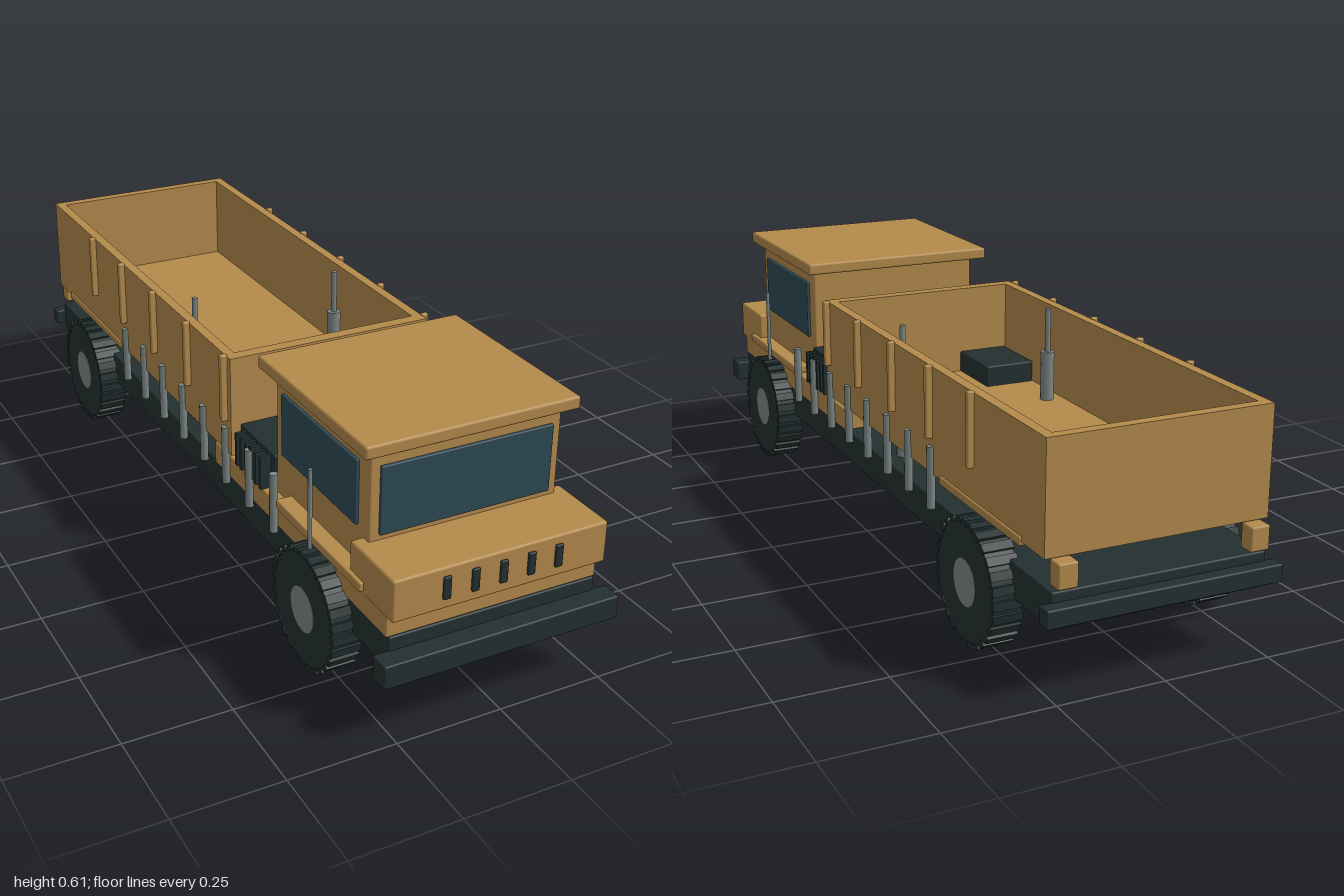
import * as THREE from 'three';
import { RoundedBoxGeometry } from 'three/addons/geometries/RoundedBoxGeometry.js';

function material(name, color) {
  const m = new THREE.MeshStandardMaterial({ color });
  m.name = name;
  return m;
}

export function createModel() {
  const truck = new THREE.Group();
  truck.name = 'truck';
  const tan = material('tan paint', 0xb48a4c);
  const dark = material('dark rubber', 0x233030);
  const glass = material('tinted glass', 0x2f4a56);
  const steel = material('steel', 0x7d8886);

  function add(name, geometry, mat, x = 0, y = 0, z = 0, parent = truck) {
    const mesh = new THREE.Mesh(geometry, mat);
    mesh.name = name;
    mesh.position.set(x, y, z);
    parent.add(mesh);
    return mesh;
  }
  // Box given by its limits on each axis, with optional rounded edges
  function box(name, mat, [x0, x1], [y0, y1], [z0, z1], r = 0) {
    const size = [x1 - x0, y1 - y0, z1 - z0];
    const geometry = r ? new RoundedBoxGeometry(...size, 2, r) : new THREE.BoxGeometry(...size);
    return add(name, geometry, mat, (x0 + x1) / 2, (y0 + y1) / 2, (z0 + z1) / 2);
  }
  // The same box on both sides of the truck
  function pair(name, mat, [x0, x1], y, z, r = 0) {
    box(name + 'Left', mat, [x0, x1], y, z, r);
    box(name + 'Right', mat, [-x1, -x0], y, z, r);
  }
  const rod = (name, r, x, y0, y1, z) =>
    add(name, new THREE.CylinderGeometry(r, r, y1 - y0, 12), steel, x, (y0 + y1) / 2, z);

  // Chassis and bumpers
  box('chassis', dark, [-0.25, 0.25], [0.15, 0.23], [-0.97, 0.955], 0.004);
  box('frontBumper', dark, [-0.285, 0.285], [0.143, 0.198], [0.95, 1], 0.004);
  box('rearBumper', dark, [-0.275, 0.275], [0.167, 0.208], [-1, -0.965], 0.004);

  // Cab
  box('lowerBody', tan, [-0.255, 0.255], [0.228, 0.285], [0.13, 0.95], 0.004);
  box('hood', tan, [-0.257, 0.257], [0.277, 0.375], [0.8, 0.975], 0.006);
  box('cab', tan, [-0.228, 0.228], [0.28, 0.585], [0.41, 0.826], 0.005);
  box('roof', tan, [-0.255, 0.255], [0.58, 0.61], [0.37, 0.853], 0.006);
  box('windscreen', glass, [-0.206, 0.206], [0.388, 0.547], [0.825, 0.834], 0.003);
  pair('sideWindow', glass, [0.227, 0.236], [0.395, 0.545], [0.446, 0.783], 0.003);
  for (let i = -2; i <= 2; i++) {
    const x = i * 0.067;
    box('grilleSlot', dark, [x - 0.009, x + 0.009], [0.302, 0.355], [0.974, 0.982], 0.003);
  }

  // Fenders above the wheels
  pair('frontFender', tan, [0.2, 0.267], [0.286, 0.308], [0.48, 0.86], 0.004);
  pair('rearFender', tan, [0.2, 0.265], [0.288, 0.308], [-0.86, -0.47], 0.004);

  // Engine boxes reaching under and into the bed, with cooling fins
  pair('engineBox', dark, [0.105, 0.235], [0.284, 0.375], [0.045, 0.412], 0.004);
  for (let i = 0; i < 6; i++) {
    const z = 0.265 + i * 0.025;
    pair('coolingFin', dark, [0.232, 0.262], [0.287, 0.37], [z - 0.005, z + 0.005]);
  }

  // Open cargo bed
  box('bedFloor', tan, [-0.256, 0.256], [0.297, 0.322], [-0.95, 0.235]);
  pair('bedSide', tan, [0.236, 0.26], [0.297, 0.545], [-0.955, 0.235]);
  box('bedFront', tan, [-0.26, 0.26], [0.297, 0.545], [0.207, 0.237]);
  box('bedTail', tan, [-0.26, 0.26], [0.297, 0.545], [-0.957, -0.932]);
  for (let i = 0; i < 5; i++) {
    const z = 0.213 - i * 0.212;
    pair('bedRib', tan, [0.258, 0.276], [0.38, 0.549], [z - 0.007, z + 0.007], 0.004);
  }
  pair('tailLamp', tan, [0.2, 0.245], [0.24, 0.295], [-0.988, -0.95], 0.004);

  for (const s of [-1, 1]) {
    // Side posts, aerials and the upright rams in the bed
    for (let i = 0; i < 8; i++) rod('sidePost', 0.01, s * 0.262, 0.215, 0.362, 0.462 - i * 0.1265);
    rod('aerial', 0.005, s * 0.276, 0.25, 0.475, 0.662);
    rod('ramCylinder', 0.017, s * 0.195, 0.132, 0.445, -0.11);
    rod('ramRod', 0.007, s * 0.195, 0.44, 0.555, -0.11);

    // Wheels: tyre, tread lugs and hub
    for (const z of [0.672, -0.676]) {
      const wheel = new THREE.Group();
      wheel.name = (z > 0 ? 'front' : 'rear') + 'Wheel' + (s > 0 ? 'Left' : 'Right');
      wheel.position.set(s * 0.265, 0.143, z);
      truck.add(wheel);
      const tyre = new THREE.CylinderGeometry(0.136, 0.136, 0.066, 40).rotateZ(Math.PI / 2);
      add('tyre', tyre, dark, 0, 0, 0, wheel);
      const hub = new THREE.CylinderGeometry(0.053, 0.053, 0.068, 28).rotateZ(Math.PI / 2);
      add('hub', hub, steel, 0, 0, 0, wheel);
      for (let i = 0; i < 28; i++) {
        const a = (i / 28) * Math.PI * 2;
        const lug = add('treadLug', new THREE.BoxGeometry(0.07, 0.012, 0.02), dark,
          0, Math.cos(a) * 0.136, Math.sin(a) * 0.136, wheel);
        lug.rotation.x = a;
      }
    }
  }
  return truck;
}
